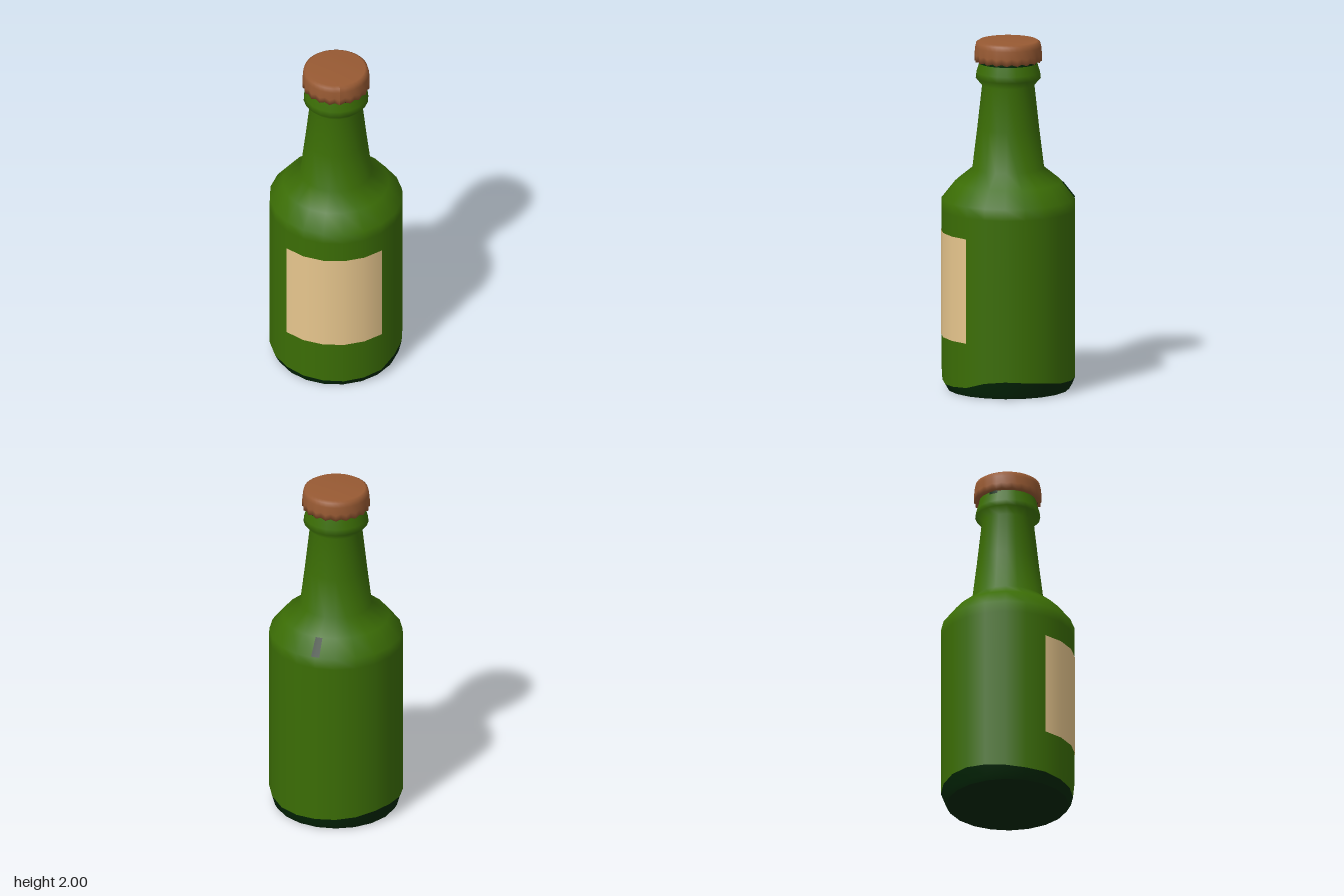
import * as THREE from 'three';

const SIDES = 20;
const STEP = (Math.PI * 2) / SIDES;

const glass = new THREE.MeshStandardMaterial({ color: 0x3b6d05, name: 'green glass' });
const darkGlass = new THREE.MeshStandardMaterial({ color: 0x022806, name: 'dark green glass', side: THREE.DoubleSide });
const paper = new THREE.MeshStandardMaterial({ color: 0xe8c78e, name: 'label paper', side: THREE.DoubleSide });
const metal = new THREE.MeshStandardMaterial({ color: 0x985a33, name: 'cap metal' });

// Height of the border between dark foot and glass, one value per side from the front towards +x
const EDGE_HEIGHTS = [
  0.04, 0.045, 0.055, 0.09, 0.102, 0.095, 0.085, 0.07, 0.066, 0.068,
  0.072, 0.08, 0.092, 0.094, 0.085, 0.073, 0.063, 0.06, 0.052, 0.046,
];

// Lathe from [radius, height] pairs, listed bottom to top
function lathe(profile, sides = SIDES, start = 0, sweep = Math.PI * 2) {
  return new THREE.LatheGeometry(profile.map(([r, y]) => new THREE.Vector2(r, y)), sides, start, sweep);
}

// Apply a rule (angle, radius, y) => [radius, y] to every vertex
function reshape(geometry, rule) {
  const p = geometry.attributes.position;
  for (let i = 0; i < p.count; i++) {
    const a = Math.atan2(p.getX(i), p.getZ(i));
    const [r, y] = rule(a, Math.hypot(p.getX(i), p.getZ(i)), p.getY(i));
    p.setXYZ(i, Math.sin(a) * r, y, Math.cos(a) * r);
  }
  return geometry;
}

function add(group, name, geometry, material) {
  const mesh = new THREE.Mesh(geometry, material);
  mesh.name = name;
  group.add(mesh);
}

export function createModel() {
  const bottle = new THREE.Group();
  bottle.name = 'bottle';

  // Uneven border between the dark foot and the glass
  const EDGE = 0.075;
  const wavyEdge = (a, r, y) => {
    if (Math.abs(y - EDGE) > 1e-4) return [r, y];
    const h = EDGE_HEIGHTS[(Math.round(a / STEP) + SIDES) % SIDES];
    return [Math.min(0.378, 0.345 + 0.033 * h / 0.055), h];
  };

  // Body, shoulder, neck and lip
  const body = lathe([
    [0.378, EDGE], [0.378, 0.13], [0.378, 0.6], [0.378, 1.03], [0.377, 1.095],
    [0.302, 1.19], [0.203, 1.27], [0.175, 1.5], [0.148, 1.745],
    [0.184, 1.785], [0.18, 1.82], [0.165, 1.87], [0.16, 1.9],
  ]);
  add(bottle, 'body', reshape(body, wavyEdge), glass);

  // Dark foot and underside
  const foot = lathe([[0.345, 0], [0.361, 0.027], [0.378, EDGE]]);
  add(bottle, 'foot', reshape(foot, wavyEdge), darkGlass);
  add(bottle, 'underside', new THREE.CircleGeometry(0.345, SIDES).rotateX(Math.PI / 2), darkGlass);

  // Broken dark seal between lip and cap: [first side, number of sides]
  for (const [first, count] of [[0, 8], [13, 1]]) {
    add(bottle, 'seal', lathe([[0.168, 1.872], [0.168, 1.895]], count, first * STEP, count * STEP), darkGlass);
  }

  // Paper label wrapped over five facets of the front
  add(bottle, 'label', lathe([[0.381, 0.31], [0.381, 0.91]], 5, -3 * STEP, 5 * STEP), paper);

  // Small dark blemish following the back of the shoulder
  const degree = Math.PI / 180;
  add(bottle, 'shoulderSpot', lathe([[0.377, 1.102], [0.306, 1.192]], 2, 158.4 * degree, 7.4 * degree), darkGlass);

  // Crimped cap: the skirt alternates in and out, the top stays round
  const cap = lathe([
    [0.16, 1.888], [0.189, 1.886], [0.189, 1.92], [0.187, 1.965], [0.181, 1.99], [0.165, 2], [0, 2],
  ], SIDES * 2);
  reshape(cap, (a, r, y) => {
    const crimp = y < 1.95 && r > 0.17 ? Math.cos(SIDES * a) : 0;
    return [r + 0.003 * crimp, y - 0.005 * crimp];
  });
  cap.computeVertexNormals();
  add(bottle, 'cap', cap, metal);

  return bottle;
}
